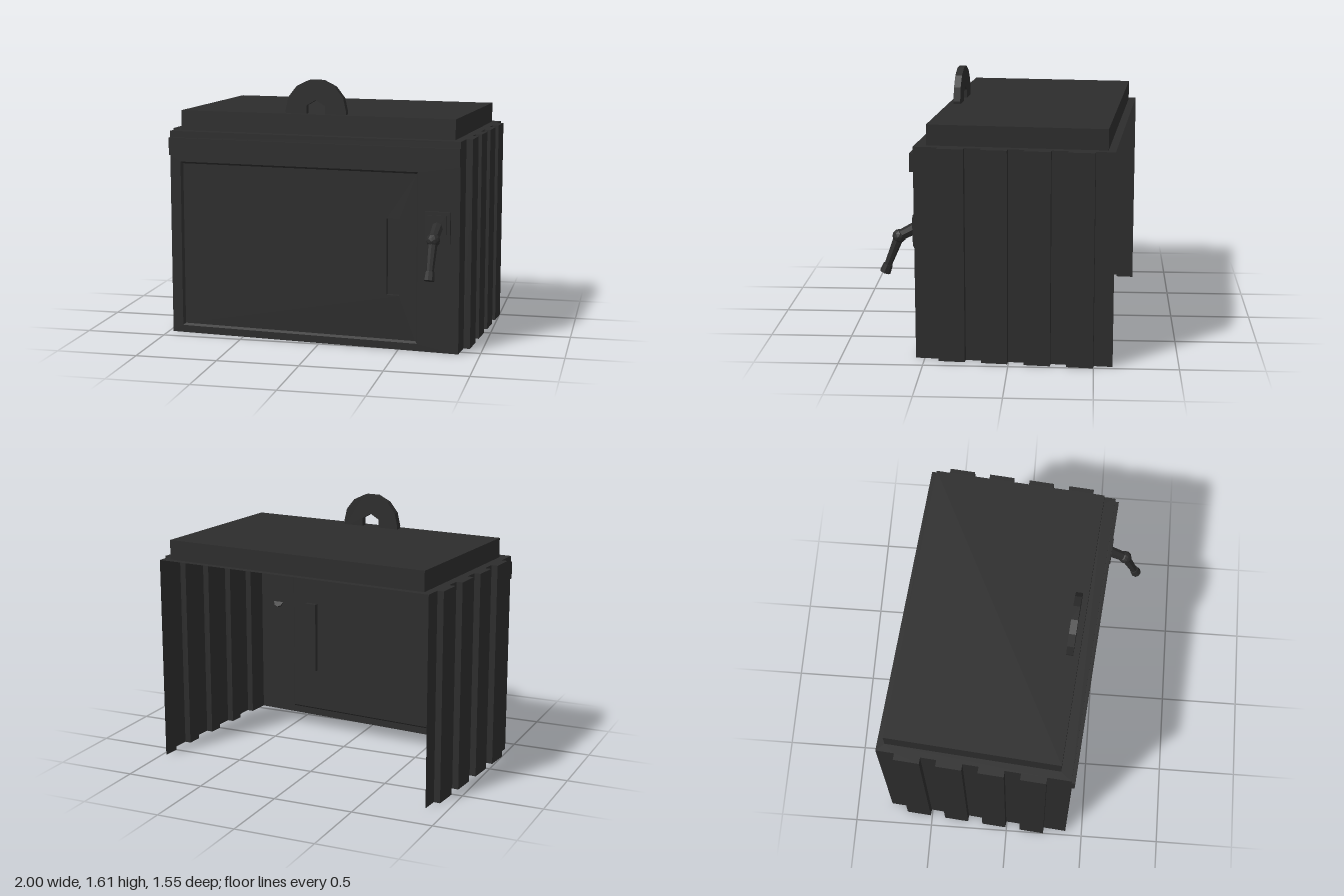
import * as THREE from 'three';

const iron = new THREE.MeshStandardMaterial({ color: 0x2c2c2c, side: THREE.DoubleSide, flatShading: true });
iron.name = 'dark iron';

const W = 0.925, D = 0.585, H = 1.28; // half width, half depth, wall height

function add(parent, name, geometry, x = 0, y = 0, z = 0) {
  const mesh = new THREE.Mesh(geometry, iron);
  mesh.name = name;
  mesh.position.set(x, y, z);
  parent.add(mesh);
  return mesh;
}

// Thin box missing some faces (0 +x, 1 -x, 2 +y, 3 -y, 4 +z, 5 -z); bevel insets the rear edge
function openBox(w, h, d, missing, bevel = 0) {
  const g = new THREE.BoxGeometry(w, h, d);
  const index = Array.from(g.index.array).filter((_, i) => !missing.includes(Math.floor(i / 6)));
  g.setIndex(index);
  g.clearGroups();
  const p = g.attributes.position;
  for (let i = 0; i < p.count; i++) {
    if (p.getZ(i) < 0) p.setXY(i, p.getX(i) - Math.sign(p.getX(i)) * bevel, p.getY(i) - Math.sign(p.getY(i)) * bevel);
  }
  return g;
}

function rect(x0, x1, y0, y1, Type = THREE.Shape) {
  return new Type([[x0, y0], [x1, y0], [x1, y1], [x0, y1]].map(([x, y]) => new THREE.Vector2(x, y)));
}

function plate(outer, hole) {
  if (hole) outer.holes.push(hole);
  return new THREE.ShapeGeometry(outer);
}

// Corrugated outline of one side as [x, z], running from back to front
function corrugation(side) {
  const pts = [[side * W, -D]];
  for (let i = 0; i < 4; i++) {
    const a = -0.473 + i * 0.2525, b = a + 0.156;
    pts.push([side * W, a], [side * (W + 0.04), a], [side * (W + 0.04), b], [side * W, b]);
  }
  pts.push([side * W, D]);
  return pts;
}

function wallSheet(pts) {
  const pos = [], index = [];
  pts.forEach(([x, z], i) => {
    pos.push(x, 0, z, x, H, z);
    if (i) index.push(2 * i - 2, 2 * i - 1, 2 * i, 2 * i, 2 * i - 1, 2 * i + 1);
  });
  const g = new THREE.BufferGeometry();
  g.setAttribute('position', new THREE.Float32BufferAttribute(pos, 3));
  g.setIndex(index);
  g.computeVertexNormals();
  return g;
}

// Tapered low-poly bar between two points
function bar(parent, name, a, b, r0, r1) {
  const dir = b.clone().sub(a);
  const mesh = add(parent, name, new THREE.CylinderGeometry(r1, r0, dir.length(), 8));
  mesh.position.copy(a).lerp(b, 0.5);
  mesh.quaternion.setFromUnitVectors(new THREE.Vector3(0, 1, 0), dir.normalize());
}

export function createModel() {
  const group = new THREE.Group();
  const body = new THREE.Group();
  body.name = 'container';
  body.position.z = -0.11;
  body.rotation.y = -THREE.MathUtils.degToRad(5);
  group.add(body);

  // Side walls and the ledge closing them at the top
  const left = corrugation(1), right = corrugation(-1);
  add(body, 'leftWall', wallSheet(left));
  add(body, 'rightWall', wallSheet(right));
  const outline = [...left, ...right.reverse()].map(([x, z]) => new THREE.Vector2(x, -z));
  const ledge = plate(new THREE.Shape(outline), rect(-0.876, 0.876, -0.515, 0.54, THREE.Path));
  add(body, 'ledge', ledge.rotateX(-Math.PI / 2), 0, H, 0);

  // Lid, hollow from below
  add(body, 'lid', openBox(1.752, 0.123, 1.055, [3]), 0, H + 0.0615, -0.0125);

  // Front wall with a raised band above the door
  const door = { x0: -0.857, x1: 0.669, y0: 0.045, y1: 1.09 };
  const slot = { x0: 0.473, x1: 0.553, y0: 0.33, y1: 0.8 };
  add(body, 'frontWall', plate(rect(-W, W, 0, 1.13), rect(door.x0, door.x1, door.y0, door.y1, THREE.Path)), 0, 0, D);
  add(body, 'frontTopStrip', plate(rect(-W, W, 1.24, H)), 0, 0, D);
  add(body, 'frontBand', openBox(2 * W, 0.11, 0.022, [5]), 0, 1.185, D + 0.011);

  // Recessed door with a bevelled border and a finger slot
  const bevel = 0.012, depth = 0.015;
  add(body, 'doorBorder', openBox(door.x1 - door.x0, door.y1 - door.y0, depth, [4, 5], bevel),
    (door.x0 + door.x1) / 2, (door.y0 + door.y1) / 2, D - depth / 2);
  add(body, 'door', plate(
    rect(door.x0 + bevel, door.x1 - bevel, door.y0 + bevel, door.y1 - bevel),
    rect(slot.x0, slot.x1, slot.y0, slot.y1, THREE.Path)), 0, 0, D - depth);
  add(body, 'doorSlot', openBox(0.08, 0.47, 0.03, [4]), 0.513, 0.565, D - depth - 0.015);

  // Latch plate and bent lever
  add(body, 'latchPlate', new THREE.BoxGeometry(0.155, 0.19, 0.018), 0.793, 0.765, D + 0.009);
  add(body, 'latchInset', new THREE.BoxGeometry(0.115, 0.15, 0.008), 0.793, 0.765, D + 0.022);
  const lever = new THREE.Group();
  lever.name = 'lever';
  lever.position.x = 0.793;
  body.add(lever);
  const v = (y, z) => new THREE.Vector3(0, y, z);
  bar(lever, 'leverShaft', v(0.775, D), v(0.712, 0.7), 0.036, 0.032);
  add(lever, 'leverJoint', new THREE.IcosahedronGeometry(0.042, 1), 0, 0.71, 0.702);
  bar(lever, 'leverArm', v(0.71, 0.702), v(0.52, 0.778), 0.03, 0.022);
  bar(lever, 'leverGrip', v(0.535, 0.772), v(0.485, 0.792), 0.028, 0.033);

  // Lifting ring standing on the lid
  const arc = (r, n, start, count, reverse) => {
    const pts = Array.from({ length: count }, (_, i) => {
      const a = start + i * 2 * Math.PI / n;
      return new THREE.Vector2(r * Math.cos(a), r * Math.sin(a));
    });
    return reverse ? pts.reverse() : pts;
  };
  const foot = -0.035;
  const ring = new THREE.Shape([
    new THREE.Vector2(0.19, foot),
    ...arc(0.194, 14, Math.PI / 14 - Math.PI / 14, 8),
    new THREE.Vector2(-0.19, foot), new THREE.Vector2(-0.06, foot),
    ...arc(0.068, 6, Math.PI / 6, 3, true),
    new THREE.Vector2(0.06, foot),
  ]);
  add(body, 'liftingRing', new THREE.ExtrudeGeometry(ring, { depth: 0.042, bevelEnabled: false }), -0.005, 1.42, 0.437);

  return group;
}
